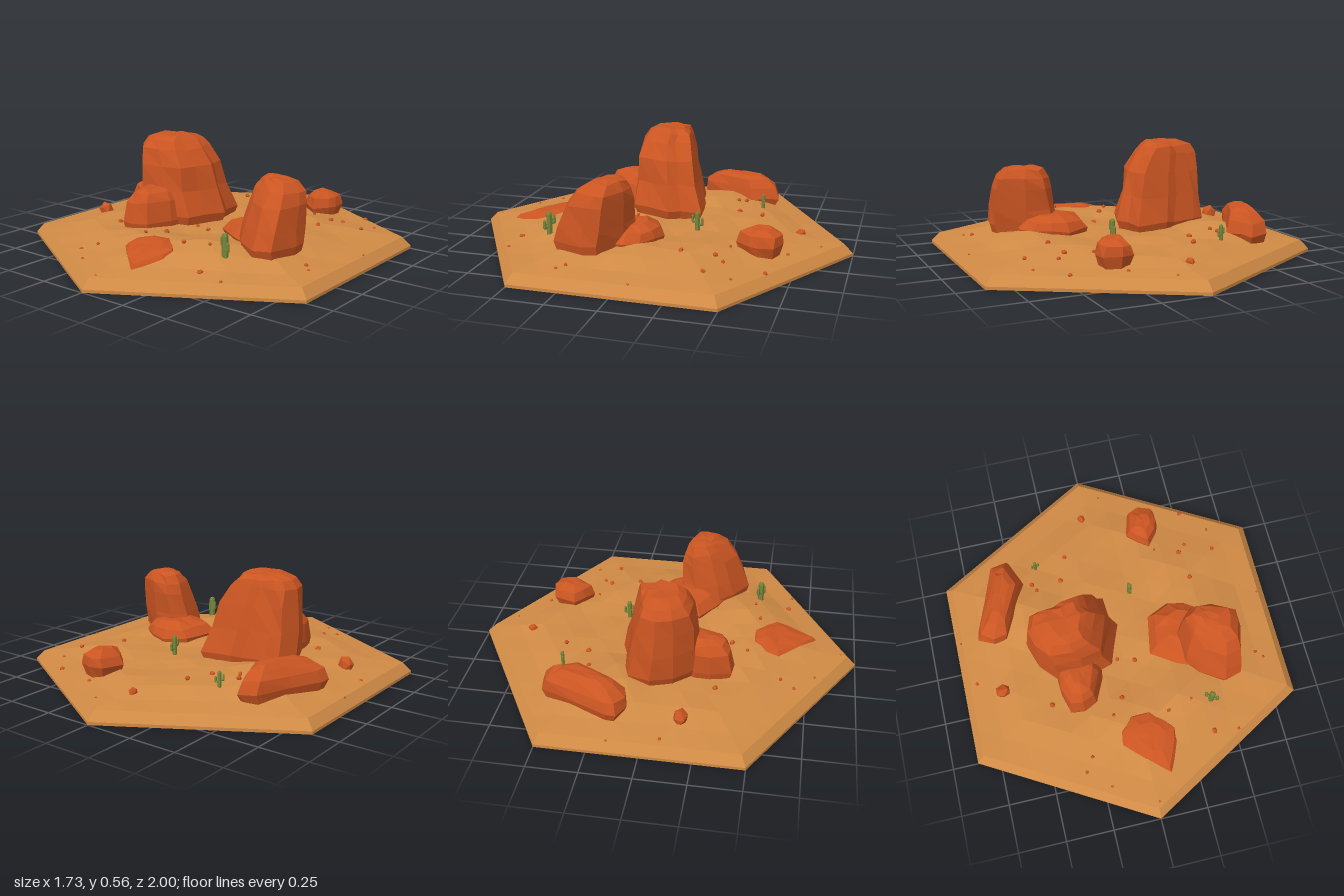
import * as THREE from 'three';

const mat = (color) => new THREE.MeshStandardMaterial({ color, flatShading: true, side: THREE.DoubleSide });
const sand = mat(0xd08a45), stone = mat(0xcb5522), green = mat(0x76863a);

let seed = 7;
const rand = () => (seed = (seed * 16807) % 2147483647) / 2147483647;

// Terrain height: flat at the rim, rolling dunes inside
const bumps = [[0.22, 0.5, 0.045, 0.22], [-0.45, -0.25, 0.04, 0.25], [0.45, 0, 0.02, 0.25], [-0.2, 0.45, 0.012, 0.2]];
function ground(x, z) {
  const d = Math.max(Math.abs(x), Math.abs(x) / 2 + Math.abs(z) * 0.866) / 0.866;
  const t = THREE.MathUtils.smoothstep(0.955 - d, 0, 0.38);
  let h = 0.045 + 0.013 * Math.sin(9 * x + 5 * z) * Math.cos(13 * z - 6 * x);
  for (const [bx, bz, amp, r] of bumps) h += amp * Math.exp(-((x - bx) ** 2 + (z - bz) ** 2) / (r * r));
  return 0.06 + t * h;
}

function meshOf(name, verts, material) {
  const g = new THREE.BufferGeometry();
  g.setAttribute('position', new THREE.Float32BufferAttribute(verts.flat(), 3));
  g.computeVertexNormals();
  const m = new THREE.Mesh(g, material);
  m.name = name;
  return m;
}

// Triangulated hexagonal sand surface, six sectors
function terrain() {
  const n = 7, v = [];
  for (let k = 0; k < 6; k++) {
    const a = k * Math.PI / 3, b = a + Math.PI / 3;
    const P = (i, j) => {
      const x = 0.955 * (Math.sin(a) * i + Math.sin(b) * j) / n;
      const z = 0.955 * (Math.cos(a) * i + Math.cos(b) * j) / n;
      return [x, ground(x, z), z];
    };
    for (let i = 0; i < n; i++) for (let j = 0; i + j < n; j++) {
      v.push(P(i, j), P(i + 1, j), P(i, j + 1));
      if (i + j < n - 1) v.push(P(i + 1, j), P(i + 1, j + 1), P(i, j + 1));
    }
  }
  return meshOf('sandSurface', v, sand);
}

// Rock: a footprint [x, z] fitted into boxes [y, x0, x1, z0, z1] going up
function rock(name, outline, boxes, tilt = 0, jitter = 0.012) {
  const xs = outline.map((p) => p[0]), zs = outline.map((p) => p[1]);
  const x0 = Math.min(...xs), x1 = Math.max(...xs), z0 = Math.min(...zs), z1 = Math.max(...zs);
  const zm = (z0 + z1) / 2, n = outline.length;
  const rings = boxes.map(([y, a, b, c, d]) => outline.map(([x, z]) => {
    const j = () => (rand() - 0.5) * jitter;
    const pz = c + (d - c) * (z - z0) / (z1 - z0);
    return [a + (b - a) * (x - x0) / (x1 - x0) + j(), y - tilt * (pz - zm) + j(), pz + j()];
  }));
  const mid = (r) => [0, 1, 2].map((i) => r.reduce((s, p) => s + p[i], 0) / n);
  const top = rings[rings.length - 1], bottom = rings[0], ct = mid(top), cb = mid(bottom), v = [];
  for (let i = 0; i < n; i++) {
    const q = (i + 1) % n;
    for (let k = 0; k + 1 < rings.length; k++) {
      const a = rings[k][i], b = rings[k][q], c = rings[k + 1][q], d = rings[k + 1][i];
      v.push(a, d, c, a, c, b);
    }
    v.push(ct, top[q], top[i], cb, bottom[i], bottom[q]);
  }
  return meshOf(name, v, stone);
}

// Cactus: ribbed stem with two bent arms, arms spread along its local x
function cactus(x, z, height, r, turn) {
  const g = new THREE.Group();
  g.name = 'cactus';
  const limb = (name, rad, len, px, py, lying) => {
    const m = new THREE.Mesh(new THREE.CapsuleGeometry(rad, len, 2, 6), green);
    m.name = name;
    m.position.set(px, py, 0);
    if (lying) m.rotation.z = Math.PI / 2;
    g.add(m);
  };
  limb('stem', r, height, 0, height / 2 - r, false);
  for (const s of [-1, 1]) {
    const y = height * (s < 0 ? 0.45 : 0.3);
    limb('armElbow', r * 0.55, r * 1.3, s * r * 1.2, y, true);
    limb('armTip', r * 0.55, height * 0.28, s * r * 1.9, y + height * 0.14, false);
  }
  g.position.set(x, ground(x, z), z);
  g.rotation.y = turn;
  return g;
}

export function createModel() {
  const model = new THREE.Group();

  // Hexagonal tile with bevelled border
  model.add(terrain());
  for (const [name, top, h, y] of [['tileEdge', 1, 0.015, 0.0075], ['tileBevel', 0.955, 0.045, 0.0375]]) {
    const m = new THREE.Mesh(new THREE.CylinderGeometry(top, 1, h, 6, 1, true), sand);
    m.name = name;
    m.position.y = y;
    model.add(m);
  }

  // Large rocks
  model.add(rock('mainButte',
    [[-.48, -.02], [-.44, -.13], [-.38, -.15], [-.26, -.17], [-.2, -.2], [-.03, -.21], [-.02, -.1], [.015, -.04],
      [-.03, .08], [-.07, .17], [-.2, .21], [-.35, .205], [-.44, .1]],
    [[.03, -.43, -.03, -.17, .17], [.15, -.48, .015, -.205, .21], [.28, -.48, -.03, -.165, .2], [.4, -.47, -.055, -.14, .19],
      [.49, -.465, -.115, -.11, .17], [.53, -.43, -.15, -.095, .14], [.553, -.35, -.19, -.06, .1]]));
  model.add(rock('butteFoot',
    [[-.33, .12], [-.2, .1], [-.12, .17], [-.13, .23], [-.19, .355], [-.26, .39], [-.33, .375], [-.365, .28], [-.37, .2]],
    [[.03, -.35, -.14, .1, .36], [.14, -.37, -.125, .1, .39], [.24, -.36, -.145, .1, .37], [.28, -.34, -.17, .1, .34],
      [.3, -.3, -.2, .12, .28]]));
  model.add(rock('tallRock',
    [[.3, .1], [.36, .02], [.48, .04], [.62, .13], [.625, .21], [.59, .36], [.5, .385], [.38, .31], [.32, .24]],
    [[.03, .32, .6, .06, .36], [.14, .29, .628, .03, .39], [.22, .305, .62, .03, .365], [.33, .33, .615, .03, .32],
      [.39, .345, .605, .04, .27], [.43, .37, .56, .06, .22], [.443, .41, .5, .1, .19]]));
  model.add(rock('tallRockLedge',
    [[.15, .16], [.165, .05], [.18, -.05], [.3, -.1], [.4, -.08], [.48, -.03], [.52, .05], [.5, .2], [.35, .27], [.27, .24]],
    [[.04, .18, .5, -.08, .24], [.13, .15, .52, -.1, .27], [.175, .19, .48, -.08, .22], [.205, .27, .42, -.03, .15]]));
  model.add(rock('longRock',
    [[-.73, -.13], [-.72, -.185], [-.655, -.345], [-.59, -.53], [-.5, -.545], [-.47, -.475], [-.435, -.395],
      [-.5, -.265], [-.58, -.105], [-.655, -.085]],
    [[.03, -.7, -.46, -.5, -.12], [.12, -.73, -.432, -.545, -.085], [.18, -.71, -.45, -.52, -.1],
      [.22, -.66, -.48, -.47, -.16], [.237, -.62, -.51, -.43, -.22]]));
  model.add(rock('backRock',
    [[.185, -.55], [.22, -.67], [.285, -.69], [.365, -.66], [.375, -.58], [.35, -.53], [.3, -.46], [.235, -.5]],
    [[.05, .21, .35, -.66, -.49], [.13, .183, .375, -.69, -.46], [.175, .2, .36, -.68, -.48], [.205, .24, .33, -.63, -.53]]));
  model.add(rock('flatRock',
    [[-.115, .6], [-.11, .53], [-.05, .46], [.06, .45], [.14, .51], [.19, .58], [.18, .65], [.11, .81], [.05, .77], [-.02, .725]],
    [[.03, -.09, .16, .48, .77], [.085, -.115, .19, .45, .81], [.115, -.09, .17, .47, .77], [.128, -.03, .12, .52, .69]], .16, .008));

  // Scattered stones: x, z, radius
  const stones = [[-.66, .17, .042], [-.035, -.73, .024], [-.79, .09, .01], [-.39, -.38, .014], [-.37, -.34, .012],
    [-.23, -.375, .015], [-.18, -.505, .013], [.265, -.71, .011], [.52, -.645, .012], [.45, -.395, .014], [.495, -.44, .012],
    [.64, -.38, .012], [.47, -.23, .014], [-.42, .305, .016], [-.11, .13, .012], [-.03, .14, .012], [.06, .165, .014],
    [-.055, .355, .015], [-.12, .44, .01], [-.275, .62, .011], [-.32, .69, .01], [-.21, .79, .008], [.165, .485, .011],
    [.295, .45, .008], [.38, .63, .015], [.51, .645, .009], [.71, .26, .011], [.745, .295, .009], [.645, -.51, .009],
    [.09, -.85, .007], [.32, -.44, .008], [-.835, -.155, .006], [.01, .92, .006], [.82, -.08, .006]];
  for (const [x, z, r] of stones) {
    const m = new THREE.Mesh(new THREE.IcosahedronGeometry(r, 0), stone);
    m.name = 'looseStone';
    m.position.set(x, ground(x, z) + r * 0.2, z);
    m.rotation.set(rand() * 3, rand() * 3, rand() * 3);
    m.scale.set(1.15, 0.9, 1);
    model.add(m);
  }

  // Cacti
  model.add(cactus(.4, .47, .115, .016, -.5));
  model.add(cactus(.125, -.225, .1, .013, Math.PI / 2));
  model.add(cactus(-.35, -.48, .08, .01, .35));
  return model;
}
